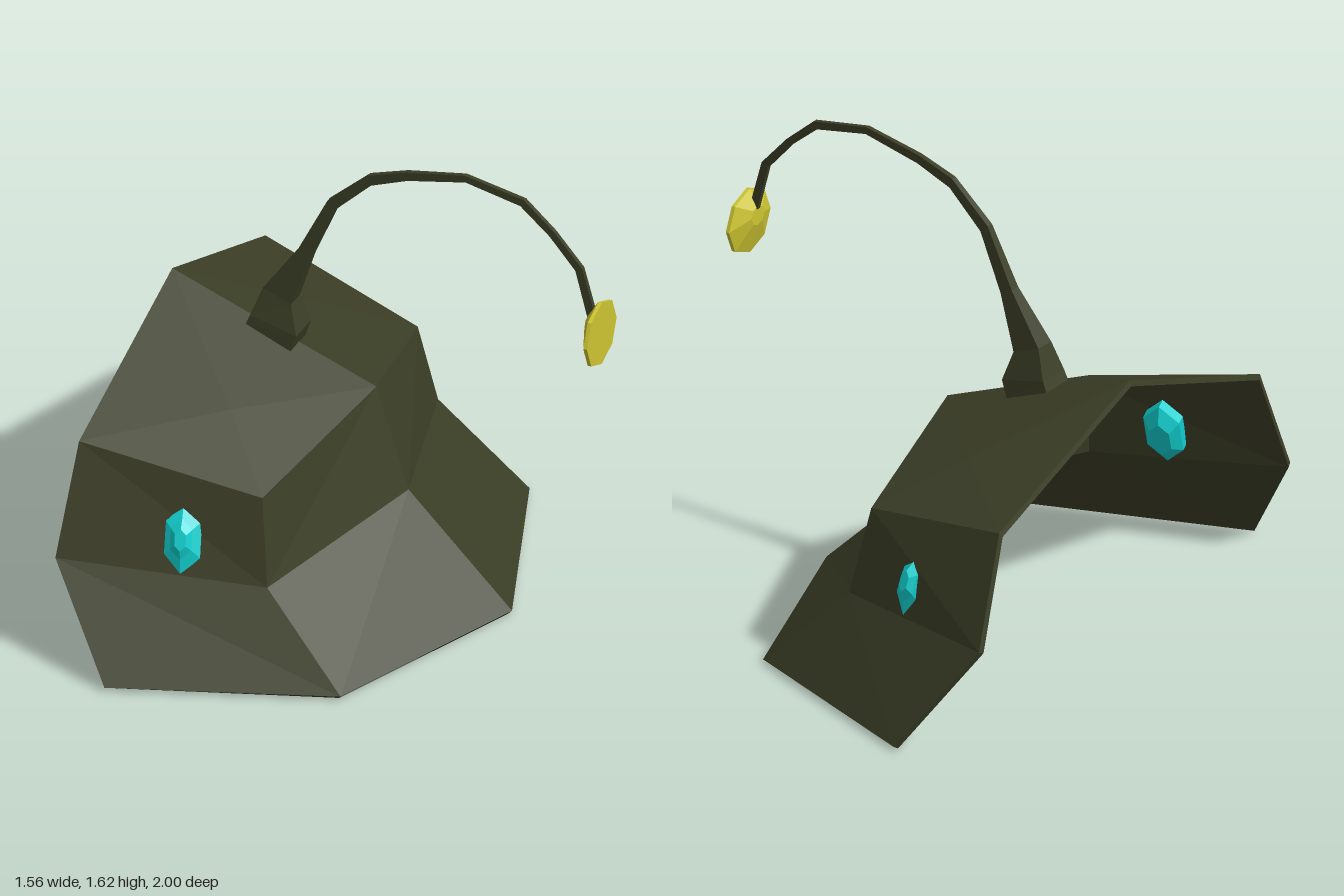
import * as THREE from 'three';

const V = (x, y, z) => new THREE.Vector3(x, y, z);

// Flat-shaded geometry from polygons (arrays of Vector3, counter-clockwise from outside)
function facets(polys) {
  const p = [];
  for (const f of polys)
    for (let i = 1; i < f.length - 1; i++)
      for (const v of [f[0], f[i], f[i + 1]]) p.push(v.x, v.y, v.z);
  const g = new THREE.BufferGeometry();
  g.setAttribute('position', new THREE.Float32BufferAttribute(p, 3));
  g.computeVertexNormals();
  return g;
}

// Closed skin over a row of rings
function loft(rings) {
  const polys = [[...rings[0]].reverse(), rings[rings.length - 1]];
  for (let k = 0; k < rings.length - 1; k++) {
    const a = rings[k], b = rings[k + 1];
    a.forEach((v, i) => {
      const j = (i + 1) % a.length;
      polys.push([v, a[j], b[j], b[i]]);
    });
  }
  return facets(polys);
}

const ring = (n, fn) => Array.from({ length: n }, (_, i) => {
  const a = (i / n) * Math.PI * 2;
  return fn(Math.cos(a), Math.sin(a));
});

// Faceted shell with thickness: one half is described, the other mirrored in z
function shellGeometry(thickness) {
  const half = [
    [-0.76, 1.01, 0], [-0.3, 0.843, 0], [-0.03, 0.745, 0], [0.085, 0.385, 0], [0.455, 0.02, 0], // ridge
    [-0.76, 0.745, 0.72], [-0.16, 0.615, 0.6], [-0.115, 0.32, 0.66], [0.18, 0.02, 0.73], // corner
    [-0.78, 0.375, 0.86], [-0.54, 0.02, 1], // rear edge
    [-0.38, 0.77, 0.37], // crown crease
  ];
  const halfFaces = [
    [0, 5, 11], [0, 11, 1], [1, 11, 2], [11, 6, 2], [11, 5, 6],
    [2, 6, 7, 3], [3, 7, 8, 4], [5, 9, 7, 6], [9, 10, 8, 7],
  ];
  const n = half.length;
  const outer = half.map(p => V(...p)).concat(half.map(([x, y, z]) => V(x, y, -z)));
  const mirror = i => (half[i][2] === 0 ? i : i + n);
  const faces = halfFaces.concat(halfFaces.map(f => f.map(mirror).reverse()));

  // Inner skin, pushed in along averaged normals
  const normals = outer.map(() => V(0, 0, 0));
  const edges = new Set();
  for (const f of faces) {
    const [a, b, c] = f.map(i => outer[i]);
    const nrm = b.clone().sub(a).cross(c.clone().sub(a)).normalize();
    f.forEach((i, k) => {
      normals[i].add(nrm);
      edges.add(i + ',' + f[(k + 1) % f.length]);
    });
  }
  const inner = outer.map((v, i) => v.clone().addScaledVector(normals[i].normalize(), -thickness));

  const polys = [];
  for (const f of faces) {
    polys.push(f.map(i => outer[i]), f.map(i => inner[i]).reverse());
    // Rim along open edges
    f.forEach((i, k) => {
      const j = f[(k + 1) % f.length];
      if (!edges.has(j + ',' + i)) polys.push([outer[j], outer[i], inner[i], inner[j]]);
    });
  }
  return facets(polys);
}

export function createModel() {
  const group = new THREE.Group();
  const material = (name, color) => {
    const m = new THREE.MeshStandardMaterial({ color, flatShading: true });
    m.name = name;
    return m;
  };
  const olive = material('dark olive', 0x3b3e26);
  const yellow = material('lamp yellow', 0xcdc532);
  const cyan = material('gem cyan', 0x12d0d0);

  const add = (name, geometry, mat) => {
    const mesh = new THREE.Mesh(geometry, mat);
    mesh.name = name;
    group.add(mesh);
    return mesh;
  };

  add('shell', shellGeometry(0.02), olive);

  // Curved stalk: outer x, y, inner x, y, half width
  const sections = [
    [-0.47, 0.905, -0.31, 0.84, 0.06],
    [-0.455, 0.94, -0.29, 0.9, 0.058],
    [-0.42, 1.04, -0.32, 1.0, 0.035],
    [-0.3, 1.21, -0.255, 1.19, 0.018],
    [-0.2, 1.41, -0.17, 1.385, 0.012],
    [-0.055, 1.54, -0.045, 1.505, 0.01],
    [0.08, 1.585, 0.085, 1.555, 0.009],
    [0.29, 1.625, 0.293, 1.6, 0.008],
    [0.502, 1.585, 0.488, 1.56, 0.008],
    [0.61, 1.49, 0.592, 1.472, 0.008],
    [0.71, 1.377, 0.685, 1.365, 0.008],
    [0.755, 1.215, 0.728, 1.2, 0.008],
  ];
  add('stalk', loft(sections.map(([xo, yo, xi, yi, w]) =>
    [V(xo, yo, w), V(xi, yi, w), V(xi, yi, -w), V(xo, yo, -w)])), olive);

  // Octagonal lamp, skewed cone with a thin rim: x, centre y, radius
  const lampRings = [[0.73, 1.175, 0.035], [0.763, 1.147, 0.115], [0.776, 1.147, 0.115]];
  add('lamp', loft(lampRings.map(([x, y, r]) =>
    ring(8, (c, s) => V(x, y + c * r, s * r)))), yellow);

  // Side gems set through the shell: depth, scale
  const gemRings = [[-0.085, 0.55], [-0.055, 1], [-0.02, 1], [0, 0.56], [0.02, 0.3]];
  const gem = loft(gemRings.map(([d, k]) =>
    ring(6, (c, s) => V(s * 0.072 * k, -c * 0.122 * k, d))));
  for (const side of [1, -1]) {
    const mesh = add(side > 0 ? 'frontGem' : 'rearGem', gem, cyan);
    mesh.position.set(-0.395, 0.465, 0.72 * side);
    mesh.lookAt(-0.395 + 0.25, 0.465 + 0.33, (0.72 + 0.91) * side);
  }
  return group;
}
